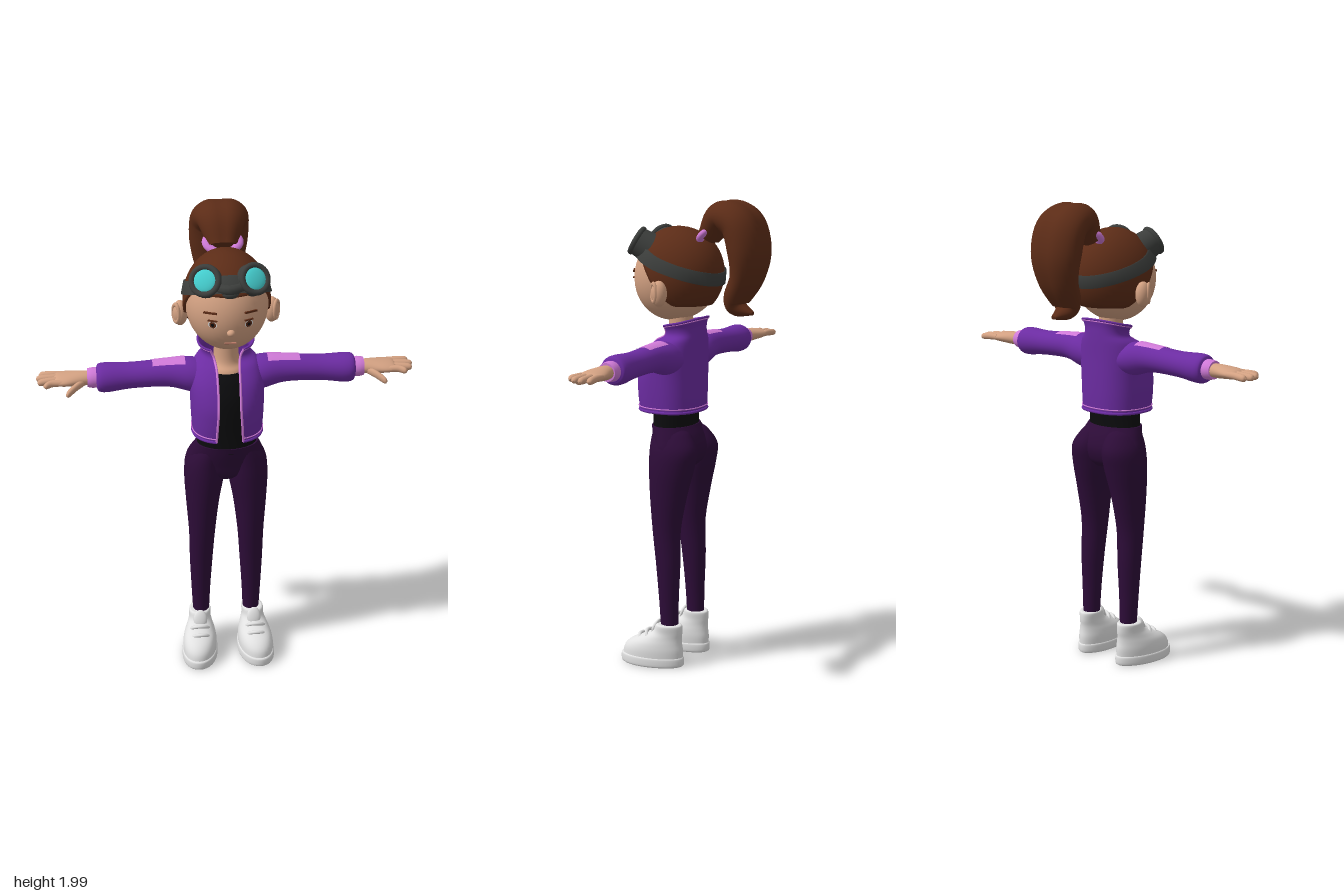
import * as THREE from 'three';

const mat = (name, color, side = THREE.FrontSide) => {
  const m = new THREE.MeshStandardMaterial({ color, side });
  m.name = name;
  return m;
};
const M = {
  skin: mat('skin', 0xd3a182), hair: mat('brown hair', 0x5c2c17),
  jacket: mat('purple cloth', 0x6c2ca2, THREE.DoubleSide), pink: mat('pink trim', 0xd07ad8, THREE.DoubleSide),
  shirt: mat('black cloth', 0x0c0c0e), pants: mat('plum cloth', 0x2d0c38),
  white: mat('white shoe', 0xe2e2e2), frame: mat('dark grey rubber', 0x3c3e3c),
  lens: mat('turquoise glass', 0x45cfd0), lip: mat('lip', 0xb97a66),
};

// Smoothly resample rows of numbers into n rows
function sample(rows, n) {
  const size = rows[0].length;
  const f = new THREE.CubicInterpolant(rows.map((_, i) => i), rows.flat(), size, new Float32Array(size));
  return Array.from({ length: n }, (_, i) => [...f.evaluate(i / (n - 1) * (rows.length - 1))]);
}

// Skin a list of point rings; caps get their own vertices for a sharp edge
function loft(rings, { closed = true, caps = false } = {}) {
  const n = rings[0].length, pos = rings.flat(2), idx = [];
  for (let i = 0; i < rings.length - 1; i++)
    for (let j = 0; j < (closed ? n : n - 1); j++) {
      const a = i * n + j, b = i * n + (j + 1) % n, c = a + n, d = b + n;
      idx.push(a, b, c, b, d, c);
    }
  if (caps) [rings[0], rings[rings.length - 1]].forEach((r, k) => {
    const s = pos.length / 3;
    pos.push(...r.flat(), ...[0, 1, 2].map(q => r.reduce((t, p) => t + p[q], 0) / n));
    for (let j = 0; j < n; j++) {
      const e = s + (j + 1) % n;
      k ? idx.push(s + j, e, s + n) : idx.push(e, s + j, s + n);
    }
  });
  const g = new THREE.BufferGeometry();
  g.setAttribute('position', new THREE.Float32BufferAttribute(pos, 3));
  g.setIndex(idx);
  g.computeVertexNormals();
  return g;
}
const around = (n, f, from = 0, to = Math.PI * 2, open = false) =>
  Array.from({ length: n }, (_, j) => f(from + (to - from) * j / (open ? n - 1 : n)));

// Upright sections [y, cx, cz, rx, rz] and sideways sections [x, cy, cz, ry, rz]
const upright = (rows, n = 24, caps = true) => loft(sample(rows, n).map(([y, cx, cz, rx, rz]) =>
  around(32, a => [cx + rx * Math.sin(a), y, cz + rz * Math.cos(a)])), { caps });
const sideRing = ([x, cy, cz, ry, rz], n = 28, s = 1, from, to, open) =>
  around(n, a => [x, cy + s * ry * Math.cos(a), cz + s * rz * Math.sin(a)], from, to, open);
const sideways = (rows, n = 24) => loft(sample(rows, n).map(r => sideRing(r)), { caps: true });

const tube = (pts, r, closed = false) => new THREE.TubeGeometry(
  new THREE.CatmullRomCurve3(pts.map(p => new THREE.Vector3(...p)), closed), pts.length * 3, r, 8, closed);
const ball = (x, y, z, rx, ry, rz) => new THREE.SphereGeometry(1, 28, 20).scale(rx, ry, rz).translate(x, y, z);

// Head surface: polar angle t from the crown, azimuth p from the front, scale s
function head(t, p, s = 1) {
  const k = Math.cos(t), r = Math.sin(t) * s, c = Math.cos(p);
  return [0.165 * r * Math.sin(p), 1.675 + 0.19 * s * k, 0.1 + 0.015 * (1 - k) + (c > 0 ? 0.175 : 0.2) * r * c];
}
const headAt = (y, p, s) => head(Math.acos(Math.min(1, (y - 1.675) / (0.19 * s))), p, s);

export function createModel() {
  const model = new THREE.Group();
  const add = (name, geo, m, parent = model) => {
    const mesh = new THREE.Mesh(geo, m);
    mesh.name = name;
    parent.add(mesh);
    return mesh;
  };
  const pair = (name, geo, m) => {
    const g = geo.clone().scale(-1, 1, 1), ix = g.index.array;
    for (let i = 0; i < ix.length; i += 3) [ix[i], ix[i + 1]] = [ix[i + 1], ix[i]];
    add('left' + name, geo, m);
    add('right' + name, g, m);
  };

  // Head, ears and neck
  add('head', loft(Array.from({ length: 29 }, (_, i) =>
    around(40, p => head(Math.PI * (0.999 - 0.998 * i / 28), p)))), M.skin);
  pair('Ear', ball(0.183, 1.615, 0.085, 0.03, 0.053, 0.034), M.skin);
  pair('EarRim', new THREE.TorusGeometry(0.026, 0.007, 8, 20).scale(0.8, 1.4, 1).rotateY(1.0).translate(0.2, 1.62, 0.1), M.skin);
  add('neck', upright([[1.34, 0, 0.1, 0.09, 0.085], [1.38, 0, 0.095, 0.075, 0.075],
    [1.42, 0, 0.09, 0.052, 0.055], [1.54, 0, 0.09, 0.05, 0.05]]), M.skin);
  add('nose', ball(0, 1.612, 0.287, 0.016, 0.014, 0.017), M.skin);

  // Painted face details laid on the head surface
  const onFace = (name, geo, m, x, y, lift = 0.002) => {
    const s = Math.sqrt(1 - ((y - 1.675) / 0.19) ** 2), p = headAt(y, Math.asin(x / (0.165 * s)), 1);
    const mesh = add(name, geo, m);
    const nrm = new THREE.Vector3(p[0] / 0.027, (p[1] - 1.675) / 0.036, (p[2] - 0.11) / 0.031).normalize();
    mesh.position.set(...p).addScaledVector(nrm, lift);
    mesh.lookAt(mesh.position.clone().add(nrm));
    return mesh;
  };
  for (const s of [-1, 1]) {
    onFace('eyeWhite', new THREE.CircleGeometry(0.017, 20).scale(1.1, 0.9, 1), M.white, s * 0.07, 1.645);
    onFace('iris', new THREE.CircleGeometry(0.014, 20), M.hair, s * 0.069, 1.645, 0.003);
    onFace('pupil', new THREE.CircleGeometry(0.007, 16), M.shirt, s * 0.069, 1.645, 0.004);
    onFace('upperLash', new THREE.BoxGeometry(0.038, 0.005, 0.006), M.hair, s * 0.07, 1.662);
    onFace('eyebrow', new THREE.BoxGeometry(0.055, 0.007, 0.008), M.hair, s * 0.078, 1.692).rotateZ(s * -0.05);
  }
  onFace('mouth', new THREE.BoxGeometry(0.045, 0.005, 0.006), M.lip, 0, 1.56);

  // Hair cap with a hairline that drops behind the ears
  const hairline = p => 1.15 + 1.05 * THREE.MathUtils.smoothstep(Math.min(p, Math.PI * 2 - p), 0.9, 2.1);
  const capRings = Array.from({ length: 22 }, (_, i) =>
    around(48, p => head(hairline(p) * (1 - 0.999 * i / 21), p, 1.06)));
  add('hairCap', loft([around(48, p => head(hairline(p), p, 0.99)), ...capRings]), M.hair);

  // Ponytail [y, z, half width, half thickness] swept along its own path
  const tail = sample([[1.84, -0.045, 0.06, 0.045], [1.92, -0.115, 0.1, 0.07], [1.895, -0.2, 0.12, 0.08],
    [1.79, -0.233, 0.12, 0.08], [1.685, -0.224, 0.1, 0.063], [1.595, -0.178, 0.072, 0.052],
    [1.555, -0.185, 0.05, 0.038], [1.535, -0.25, 0.012, 0.008]], 48);
  const X = new THREE.Vector3(1, 0, 0);
  add('ponytail', loft(tail.map(([y, z, w, t], i) => {
    const a = tail[Math.max(0, i - 1)], b = tail[Math.min(47, i + 1)];
    const v = new THREE.Vector3(0, b[0] - a[0], b[1] - a[1]).normalize().cross(X);
    return around(32, q => {
      const d = t * Math.sin(q) * (1 - 0.12 * Math.exp(-12 * Math.cos(q) ** 2));
      return [w * Math.cos(q), y + v.y * d, z + v.z * d];
    });
  }), { caps: true }), M.hair);
  add('ponytailUnderside', ball(0, 0, 0, 0.04, 0.01, 0.03).rotateX(-0.5).translate(0, 1.543, -0.165), M.pants);
  add('hairTie', new THREE.TorusGeometry(0.046, 0.014, 12, 32).scale(1.4, 1, 1).rotateX(-0.85).translate(0, 1.853, -0.052), M.pink);

  // Goggles: strap, cups, rims, lenses and bridge
  const strapY = p => 1.733 + 0.068 * Math.cos(p);
  add('goggleStrap', loft([[-0.028, 1.03], [-0.026, 1.1], [0.026, 1.1], [0.028, 1.03]].map(([dy, s]) =>
    around(56, p => headAt(strapY(p) + dy, p, s)))), M.frame);
  for (const s of [-1, 1]) {
    const eye = new THREE.Group();
    eye.name = s > 0 ? 'leftGoggle' : 'rightGoggle';
    eye.position.set(s * 0.088, 1.804, 0.222);
    eye.lookAt(s * (0.088 + 0.32), 1.804 + 0.5, 0.222 + 0.8);
    model.add(eye);
    add('cup', new THREE.CylinderGeometry(0.058, 0.066, 0.07, 28).rotateX(Math.PI / 2).translate(0, 0, -0.01), M.frame, eye);
    add('rim', new THREE.TorusGeometry(0.053, 0.012, 12, 32).translate(0, 0, 0.026), M.frame, eye);
    add('lens', ball(0, 0, 0.026, 0.047, 0.047, 0.014), M.lens, eye);
  }
  add('goggleBridge', tube([[-0.06, 1.785, 0.24], [0, 1.785, 0.268], [0.06, 1.785, 0.24]], 0.02), M.frame);
  add('goggleNosePiece', ball(0, 1.765, 0.262, 0.035, 0.018, 0.02), M.frame);

  // Shirt
  add('shirt', upright([[1.02, 0, 0.115, 0.125, 0.085], [1.1, 0, 0.115, 0.12, 0.088], [1.25, 0, 0.115, 0.115, 0.1],
    [1.33, 0, 0.107, 0.11, 0.092], [1.375, 0, 0.098, 0.08, 0.08]]), M.shirt);

  // Open jacket: sections [y, cz, rx, rz, half gap, collar slope]
  const P = 0.85, sp = v => Math.sign(v) * Math.abs(v) ** P;
  const coat = sample([[1.11, 0.128, 0.142, 0.133, 0.054, 0], [1.18, 0.13, 0.147, 0.138, 0.05, 0],
    [1.26, 0.128, 0.15, 0.137, 0.045, 0], [1.34, 0.113, 0.15, 0.122, 0.045, 0], [1.4, 0.09, 0.132, 0.1, 0.046, 0.004],
    [1.43, 0.07, 0.103, 0.08, 0.05, 0.012], [1.455, 0.064, 0.1, 0.074, 0.056, 0.018],
    [1.482, 0.064, 0.112, 0.078, 0.068, 0.02]], 32).map(([y, cz, rx, rz, gap, slope]) => {
    const a = Math.asin((gap / rx) ** (1 / P));
    return around(49, q => [rx * sp(Math.sin(q)), y - slope * Math.cos(q), cz + rz * sp(Math.cos(q))],
      a, Math.PI * 2 - a, true);
  });
  add('jacketBody', loft(coat, { closed: false }), M.jacket);
  add('hemBand', tube(coat[0], 0.006), M.jacket);
  add('collarEdge', tube(coat[31], 0.005), M.jacket);
  for (const j of [0, 48]) add('frontTrim', tube(coat.map(r => r[j]), 0.005), M.pink);
  add('hemTrim', tube(coat[1].map(([x, y, z]) => [x * 1.012, y, 0.128 + (z - 0.128) * 1.012]), 0.0025), M.pink);
  add('collarTrim', tube(coat[30].map(([x, y, z]) => [x * 1.02, y, 0.064 + (z - 0.064) * 1.03]), 0.0025), M.pink);

  // Sleeves, shoulder patches and cuffs
  const sleeve = [[0.085, 1.335, 0.09, 0.066, 0.075], [0.15, 1.345, 0.09, 0.07, 0.075], [0.24, 1.355, 0.09, 0.057, 0.061],
    [0.38, 1.35, 0.09, 0.053, 0.056], [0.48, 1.346, 0.092, 0.06, 0.063], [0.515, 1.346, 0.092, 0.056, 0.058],
    [0.525, 1.346, 0.092, 0.042, 0.044]];
  pair('Sleeve', sideways(sleeve, 40), M.jacket);
  pair('ShoulderPatch', loft(sample(sleeve, 80).filter(r => r[0] > 0.165 && r[0] < 0.302)
    .map(r => sideRing(r, 12, 1.04, -0.58, 0.58, true)), { closed: false }), M.pink);
  pair('Cuff', sideways([[0.5, 1.347, 0.092, 0.04, 0.042], [0.54, 1.347, 0.092, 0.041, 0.044],
    [0.562, 1.347, 0.092, 0.037, 0.04]], 8), M.pink);

  // Hands
  pair('Palm', sideways([[0.55, 1.347, 0.092, 0.028, 0.032], [0.59, 1.347, 0.092, 0.028, 0.041],
    [0.64, 1.347, 0.092, 0.024, 0.054], [0.68, 1.346, 0.091, 0.019, 0.053], [0.695, 1.346, 0.09, 0.01, 0.045]], 16), M.skin);
  const limb = (pts, r) => sideways(pts.map(([x, y, z], i) => [x, y, z, r * [0.9, 1, 0.92, 0.15][i], r * [0.9, 1, 0.92, 0.15][i]]), 16);
  [[0.05, 0.045, 0.757], [0.078, 0.078, 0.768], [0.106, 0.112, 0.762], [0.131, 0.143, 0.738]].forEach(([z0, z1, tip]) =>
    pair('Finger', limb([[0.66, 1.347, z0], [0.7, 1.347, z0], [tip - 0.012, 1.344, z1], [tip, 1.343, z1]], 0.0145), M.skin));
  pair('Thumb', limb([[0.575, 1.34, 0.115], [0.605, 1.333, 0.14], [0.638, 1.318, 0.168], [0.65, 1.314, 0.174]], 0.017), M.skin);

  // Trousers
  add('hips', upright([[0.87, 0, 0.083, 0.07, 0.06], [0.9, 0, 0.082, 0.15, 0.085], [0.95, 0, 0.083, 0.166, 0.098],
    [1.0, 0, 0.097, 0.15, 0.098], [1.045, 0, 0.115, 0.131, 0.09]]), M.pants);
  pair('Leg', upright([[0.17, 0.11, 0.085, 0.035, 0.038], [0.3, 0.11, 0.088, 0.041, 0.043], [0.45, 0.108, 0.092, 0.049, 0.053],
    [0.6, 0.104, 0.101, 0.056, 0.062], [0.75, 0.1, 0.094, 0.07, 0.082], [0.87, 0.092, 0.083, 0.084, 0.1],
    [0.95, 0.086, 0.077, 0.082, 0.106], [1.01, 0.072, 0.093, 0.066, 0.088], [1.035, 0.065, 0.105, 0.05, 0.07]], 40), M.pants);

  // Shoes: sections [y, cz, rx, rz], wider and turned out at the toe
  const shoe = (rows, n) => loft(sample(rows, n).map(([y, cz, rx, rz]) => around(36, a => {
    const c = Math.cos(a);
    return [0.121 + rx * Math.sin(a) * (1 + 0.13 * c) + (cz + rz * c - 0.15) * 0.08, y, cz + rz * c];
  })), { caps: true });
  pair('Sole', shoe([[0, 0.163, 0.072, 0.136], [0.008, 0.163, 0.077, 0.144], [0.035, 0.163, 0.077, 0.144],
    [0.042, 0.163, 0.073, 0.139]], 10), M.white);
  pair('ShoeUpper', shoe([[0.03, 0.162, 0.073, 0.138], [0.07, 0.157, 0.073, 0.134], [0.1, 0.145, 0.067, 0.118],
    [0.125, 0.12, 0.056, 0.092], [0.15, 0.092, 0.047, 0.067], [0.18, 0.084, 0.047, 0.058], [0.186, 0.084, 0.04, 0.05]], 24), M.white);
  pair('ShoeTongue', ball(0, 0, 0, 0.03, 0.042, 0.013).rotateX(-0.35).translate(0.118, 0.16, 0.148), M.white);
  [[0.122, 0.215], [0.143, 0.18]].forEach(([y, z]) => pair('Lace', tube([[0.075, y - 0.03, z - 0.022], [0.098, y - 0.002, z],
    [0.122, y + 0.004, z + 0.006], [0.147, y - 0.002, z], [0.17, y - 0.03, z - 0.022]], 0.008), M.white));

  return model;
}
